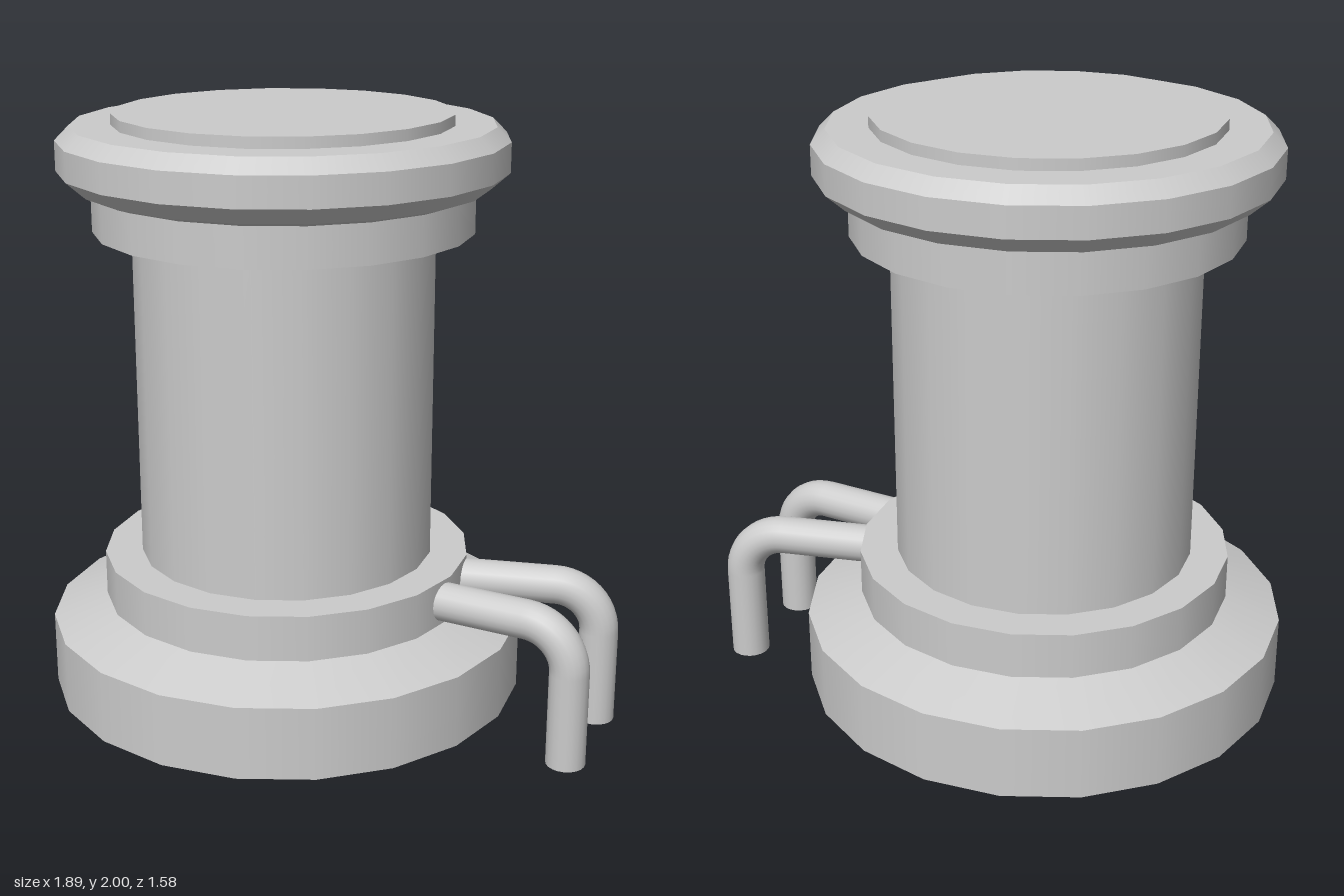
import * as THREE from 'three';

export function createModel() {
  const model = new THREE.Group();
  const material = new THREE.MeshStandardMaterial({ color: 0xcccccc });

  function add(parent, name, geometry, x = 0, y = 0, z = 0) {
    const mesh = new THREE.Mesh(geometry, material);
    mesh.name = name;
    mesh.position.set(x, y, z);
    parent.add(mesh);
    return mesh;
  }

  // Round body: stacked 20-sided rings [name, bottom y, top y, bottom radius, top radius]
  const body = new THREE.Group();
  body.name = 'body';
  body.position.x = -0.16;
  model.add(body);
  const rings = [
    ['base', 0.085, 0.325, 0.79, 0.79],
    ['baseSlope', 0.325, 0.395, 0.79, 0.61],
    ['lowerCollar', 0.395, 0.545, 0.61, 0.61],
    ['column', 0.545, 1.63, 0.487, 0.487],
    ['upperCollar', 1.63, 1.757, 0.61, 0.61],
    ['capUnderside', 1.757, 1.772, 0.61, 0.655],
    ['capLowerBevel', 1.772, 1.825, 0.655, 0.715],
    ['capRim', 1.825, 1.92, 0.715, 0.715],
    ['capUpperBevel', 1.92, 1.965, 0.715, 0.67],
    ['lid', 1.965, 2.0, 0.54, 0.54],
  ];
  for (const [name, y0, y1, r0, r1] of rings) {
    add(body, name, new THREE.CylinderGeometry(r1, r0, y1 - y0, 20), 0, (y0 + y1) / 2, 0);
  }

  // Bent pipe: its origin is the foot, and it runs inward along -x at the top
  function addPipe(name, x, z, angle) {
    const pipe = new THREE.Group();
    pipe.name = name;
    pipe.position.set(x, 0, z);
    pipe.rotation.y = angle;
    model.add(pipe);
    const r = 0.064, bend = 0.15, height = 0.468, reach = 0.48;
    const drop = height - bend, run = reach - bend;
    add(pipe, 'downPipe', new THREE.CylinderGeometry(r, r, drop, 20), 0, drop / 2, 0);
    add(pipe, 'elbow', new THREE.TorusGeometry(bend, r, 20, 12, Math.PI / 2), -bend, drop, 0);
    add(pipe, 'outlet', new THREE.CylinderGeometry(r, r, run, 20), -bend - run / 2, height, 0)
      .rotation.z = Math.PI / 2;
  }
  addPipe('frontPipe', 0.88, 0.035, 0);
  addPipe('backPipe', 0.852, -0.308, 0.29);

  return model;
}
